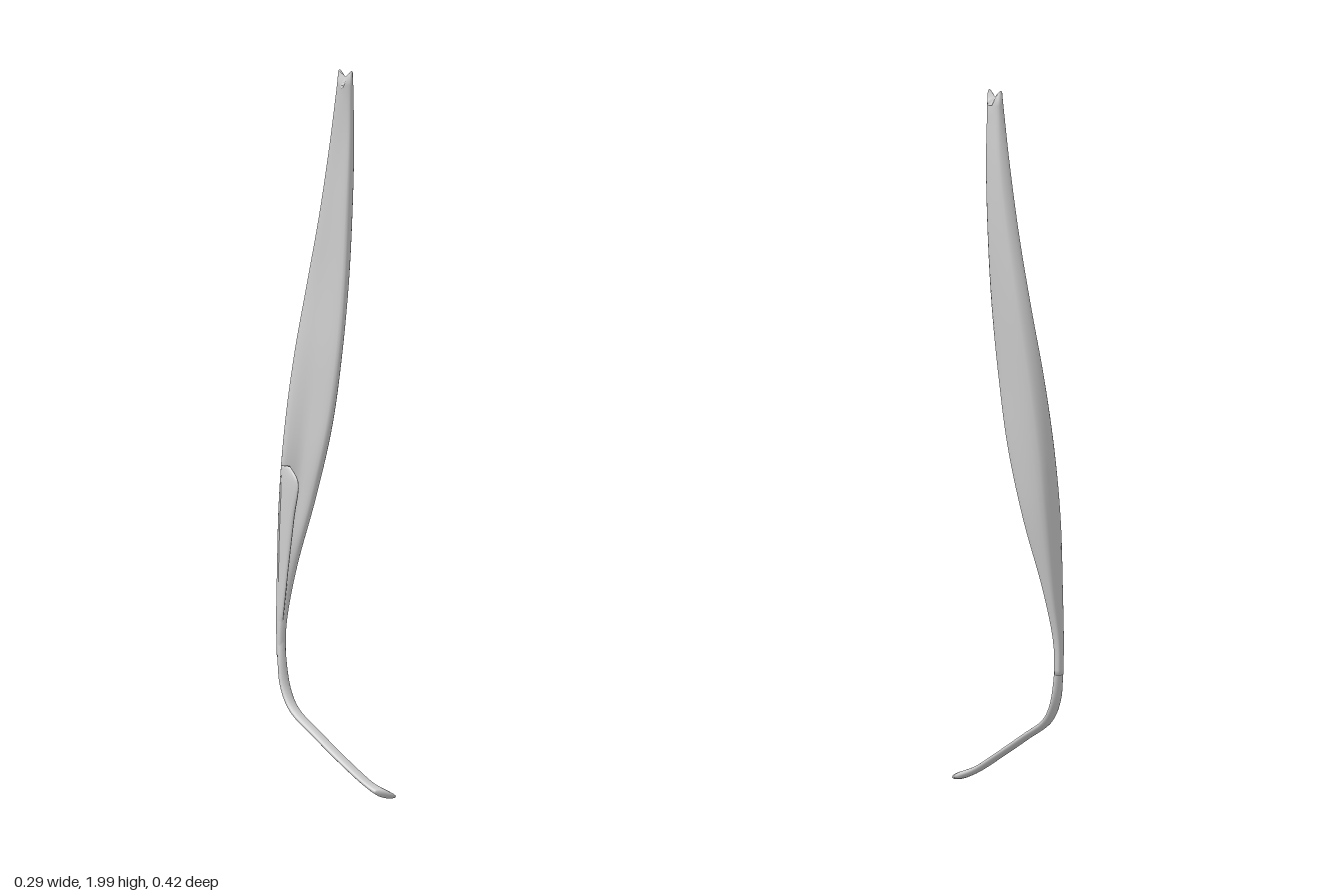
import * as THREE from 'three';

const V = (x, y, z) => new THREE.Vector3(x, y, z);
const material = new THREE.MeshStandardMaterial({ color: 0xcccccc, side: THREE.DoubleSide });

// Skin a list of closed rings (bottom to top) and cap both ends.
function loft(name, rings) {
  const n = rings[0].length, pos = [], idx = [];
  rings.forEach(r => r.forEach(p => pos.push(p.x, p.y, p.z)));
  for (let j = 0; j < rings.length - 1; j++) {
    for (let i = 0; i < n; i++) {
      const k = (i + 1) % n, a = j * n + i, b = j * n + k;
      idx.push(a, b, b + n, a, b + n, a + n);
    }
  }
  [0, rings.length - 1].forEach((j, end) => {
    const c = rings[j].reduce((s, p) => s.add(p), V(0, 0, 0)).divideScalar(n);
    const centre = pos.length / 3;
    pos.push(c.x, c.y, c.z);
    for (let i = 0; i < n; i++) {
      const a = j * n + i, b = j * n + (i + 1) % n;
      idx.push(...(end ? [a, b, centre] : [b, a, centre]));
    }
  });
  const g = new THREE.BufferGeometry();
  g.setAttribute('position', new THREE.Float32BufferAttribute(pos, 3));
  g.setIndex(idx);
  g.computeVertexNormals();
  const mesh = new THREE.Mesh(g, material);
  mesh.name = name;
  return mesh;
}

// Rows of [y, x, z, x, z, ...] are smoothed upwards and around into rings.
function smoothRings(rows, steps, around) {
  const corners = (rows[0].length - 1) / 2;
  const rails = [];
  for (let k = 0; k < corners; k++) {
    rails.push(new THREE.CatmullRomCurve3(
      rows.map(r => V(r[1 + 2 * k], r[0], r[2 + 2 * k])), false, 'centripetal'));
  }
  const rings = [];
  for (let j = 0; j <= steps; j++) {
    const loop = new THREE.CatmullRomCurve3(rails.map(c => c.getPoint(j / steps)), true, 'centripetal');
    rings.push(Array.from({ length: around }, (_, i) => loop.getPoint(i / around)));
  }
  return rings;
}

export function createModel() {
  const model = new THREE.Group();

  // Belly: front edge, outer bulge, back, left edge, hollow inner face
  const belly = smoothRings([
    [0.36, -0.125, -0.128, -0.119, -0.14, -0.131, -0.149, -0.144, -0.137, -0.138, -0.124],
    [0.45, -0.12, -0.133, -0.116, -0.147, -0.13, -0.159, -0.145, -0.143, -0.136, -0.128],
    [0.6, -0.095, -0.145, -0.086, -0.16, -0.11, -0.18, -0.142, -0.15, -0.118, -0.142],
    [0.8, -0.045, -0.135, -0.032, -0.16, -0.09, -0.2, -0.136, -0.152, -0.09, -0.155],
    [1.0, -0.006, -0.1, 0.009, -0.14, -0.07, -0.21, -0.117, -0.175, -0.06, -0.15],
    [1.2, 0.019, -0.082, 0.034, -0.12, -0.045, -0.21, -0.088, -0.187, -0.04, -0.145],
    [1.4, 0.035, -0.081, 0.053, -0.115, -0.015, -0.198, -0.052, -0.185, -0.015, -0.138],
    [1.6, 0.045, -0.085, 0.064, -0.12, 0.012, -0.175, -0.02, -0.163, 0.007, -0.122],
    [1.8, 0.053, -0.086, 0.068, -0.115, 0.033, -0.149, 0.005, -0.138, 0.03, -0.103],
    [1.985, 0.056, -0.084, 0.063, -0.11, 0.034, -0.122, 0.023, -0.108, 0.036, -0.088],
  ], 60, 28);
  // Ragged upper end: two points with a notch between
  belly[belly.length - 1].forEach(p => {
    const u = (p.x + p.z + 0.059) / 0.032;
    p.y = 1.945 + 0.055 * Math.min(1, Math.abs(u));
  });
  model.add(loft('muscleBelly', belly));

  // Thin lip folded forward from the left edge
  model.add(loft('foldedLip', smoothRings([
    [0.46, -0.142, -0.142, -0.134, -0.142, -0.128, -0.126, -0.136, -0.127],
    [0.6, -0.139, -0.153, -0.13, -0.153, -0.114, -0.122, -0.122, -0.122],
    [0.75, -0.136, -0.158, -0.126, -0.16, -0.098, -0.114, -0.108, -0.114],
    [0.85, -0.13, -0.157, -0.12, -0.16, -0.088, -0.106, -0.094, -0.105],
    [0.89, -0.127, -0.16, -0.12, -0.164, -0.106, -0.138, -0.11, -0.136],
  ], 20, 14)));

  // Tendon: flattened strap swept from the foot up into the belly
  const path = new THREE.CatmullRomCurve3([
    V(0.112, 0.019, 0.2), V(0.075, 0.04, 0.168), V(0.02, 0.089, 0.108), V(-0.05, 0.16, 0.01),
    V(-0.105, 0.222, -0.078), V(-0.124, 0.28, -0.112), V(-0.131, 0.36, -0.13), V(-0.131, 0.44, -0.143),
  ]);
  const side = V(0.83, 0, -0.55), rings = [];
  for (let j = 0; j <= 36; j++) {
    const t = j / 36, c = path.getPoint(t), tan = path.getTangent(t);
    const normal = tan.clone().cross(side).normalize();
    const flare = Math.max(0, 1 - t / 0.15);
    const w = 0.0165 + 0.005 * flare - 0.006 * Math.max(0, t - 0.75) * 4;
    const h = 0.0085 + 0.002 * flare + 0.002 * t;
    rings.push(Array.from({ length: 16 }, (_, i) => {
      const a = i / 16 * Math.PI * 2;
      return c.clone().addScaledVector(side, w * Math.cos(a))
        .addScaledVector(normal, h * Math.sin(a))
        .addScaledVector(tan, -0.016 * flare * Math.cos(a));
    }));
  }
  model.add(loft('tendon', rings));

  return model;
}
